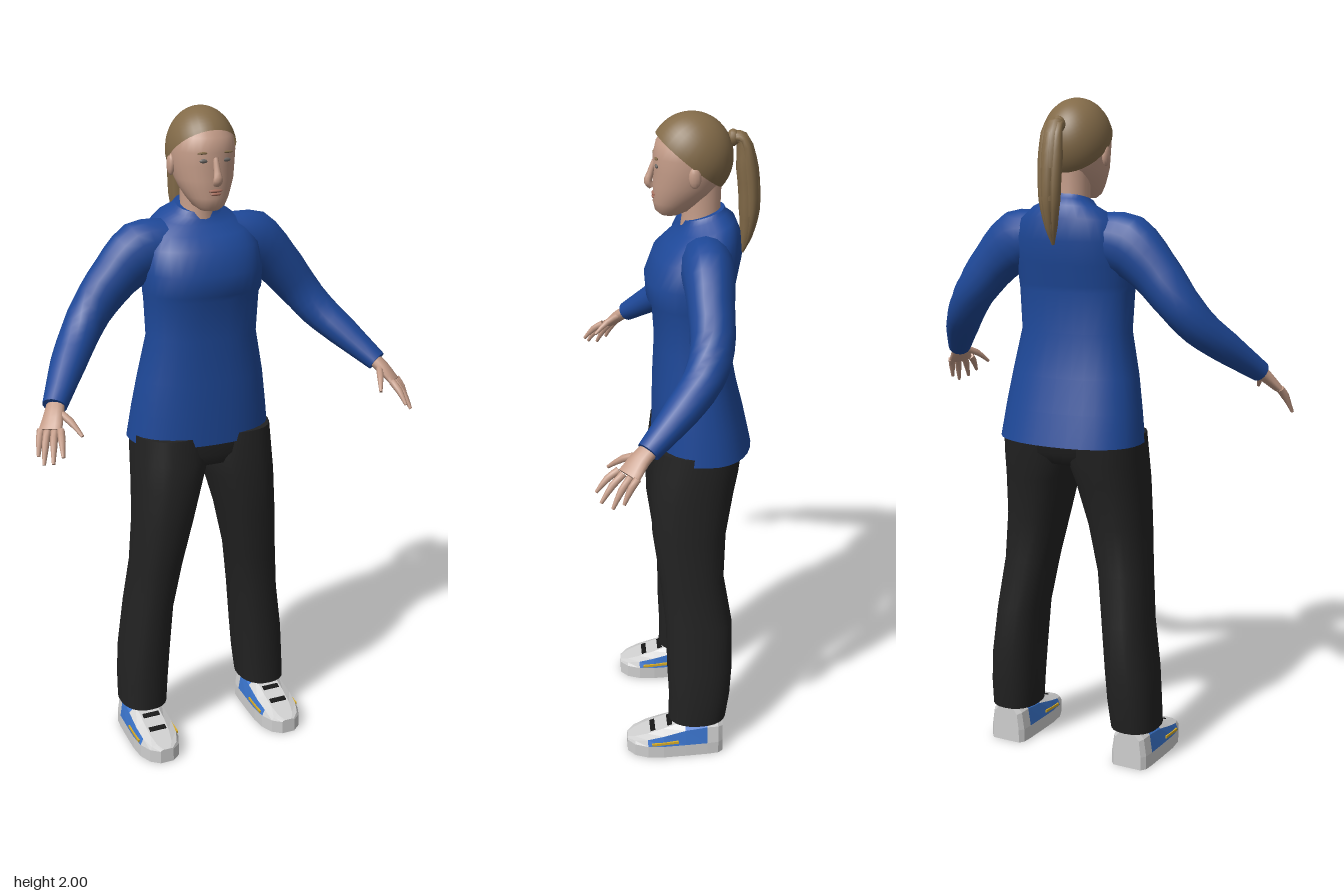
import * as THREE from 'three';

const mat = (name, color, side = THREE.FrontSide) => {
  const m = new THREE.MeshStandardMaterial({ color, side });
  m.name = name;
  return m;
};
const M = {
  sweater: mat('sweater blue', 0x1e4898),
  trousers: mat('trouser black', 0x222222),
  skin: mat('skin', 0xc49c88),
  hair: mat('hair brown', 0x836b49, THREE.DoubleSide),
  shoe: mat('shoe white', 0xcfcfcf),
  shoeBlue: mat('shoe blue', 0x3a74cc),
  yellow: mat('stripe yellow', 0xd8ac28),
  dark: mat('lace black', 0x151515),
  lips: mat('lips', 0xa8705f),
  eye: mat('eye grey', 0x6f6a66),
};
const V = (x, y, z) => new THREE.Vector3(x, y, z);

// Skin a list of equal rings; pick(i, j) may choose a material slot per quad
function loft(rings, pick = () => 0, slots = 1) {
  const n = rings[0].length, pos = [], lists = Array.from({ length: slots }, () => []);
  rings.forEach(r => r.forEach(p => pos.push(p.x, p.y, p.z)));
  for (let i = 0; i < rings.length - 1; i++) for (let j = 0; j < n; j++) {
    const k = (j + 1) % n, a = i * n + j, b = i * n + k, c = a + n, d = b + n;
    lists[pick(i, j)].push(a, c, b, b, c, d);
  }
  // end caps on their own vertices
  [rings[0], rings[rings.length - 1]].forEach((r, e) => {
    const base = pos.length / 3, c = V(0, 0, 0);
    r.forEach(p => { pos.push(p.x, p.y, p.z); c.addScaledVector(p, 1 / n); });
    pos.push(c.x, c.y, c.z);
    for (let j = 0; j < n; j++) {
      const k = (j + 1) % n;
      lists[0].push(base + n, base + (e ? k : j), base + (e ? j : k));
    }
  });
  const g = new THREE.BufferGeometry();
  g.setAttribute('position', new THREE.Float32BufferAttribute(pos, 3));
  g.setIndex(lists.flat());
  if (slots > 1) {
    let start = 0;
    lists.forEach((l, i) => { g.addGroup(start, l.length, i); start += l.length; });
  }
  g.computeVertexNormals();
  return g;
}

// Body form from level sections [y, centreX, halfWidth, frontZ, backZ]
function levels(sections, n = 24, power = 2) {
  const bend = v => Math.sign(v) * Math.abs(v) ** (2 / power);
  return loft(sections.map(([y, cx, rx, zf, zb]) => Array.from({ length: n }, (_, j) => {
    const a = j / n * Math.PI * 2;
    return V(cx + rx * bend(Math.cos(a)), y, (zf + zb) / 2 + (zf - zb) / 2 * bend(Math.sin(a)));
  })));
}

// Limb along a curve through [x, y, z, radius along ref, other radius]
function limb(points, ref, n = 12, sub = 3) {
  const curve = new THREE.CatmullRomCurve3(points.map(p => V(p[0], p[1], p[2])));
  const last = points.length - 1, rings = [];
  for (let i = 0; i <= last * sub; i++) {
    const f = i / sub, k = Math.min(Math.floor(f), last - 1), w = f - k;
    const c = curve.getPoint(f / last), t = curve.getTangent(f / last);
    const u = ref.clone().addScaledVector(t, -ref.dot(t)).normalize();
    const v = u.clone().cross(t);
    const r = [3, 4].map(q => THREE.MathUtils.lerp(points[k][q], points[k + 1][q], w));
    rings.push(Array.from({ length: n }, (_, j) => {
      const a = j / n * Math.PI * 2;
      return c.clone().addScaledVector(u, r[0] * Math.cos(a)).addScaledVector(v, r[1] * Math.sin(a));
    }));
  }
  return loft(rings);
}

function add(parent, name, geometry, material) {
  const m = new THREE.Mesh(geometry, material);
  m.name = name;
  parent.add(m);
  return m;
}
const blob = (rx, ry, rz, x, y, z) =>
  new THREE.SphereGeometry(1, 12, 8).scale(rx, ry, rz).translate(x, y, z);

function buildTorso(root) {
  const g = levels([
    [1.005, 0, .225, .064, -.236], [1.1, 0, .213, .062, -.215], [1.2, 0, .198, .06, -.19],
    [1.33, 0, .172, .054, -.165], [1.45, 0, .178, .062, -.17], [1.468, 0, .182, .077, -.173],
    [1.53, 0, .185, .082, -.185], [1.6, 0, .18, .056, -.198], [1.65, 0, .155, .02, -.193],
    [1.68, 0, .115, -.01, -.178], [1.7, 0, .075, -.025, -.155], [1.715, 0, .064, -.03, -.148],
  ], 32, 2.3);
  // collar rises toward the back
  const p = g.attributes.position;
  for (let i = 0; i < p.count; i++) {
    const k = THREE.MathUtils.clamp((p.getY(i) - 1.6) / .1, 0, 1);
    p.setY(i, p.getY(i) - k * .3 * (p.getZ(i) + .09));
  }
  g.computeVertexNormals();
  add(root, 'sweaterBody', g, M.sweater);
  add(root, 'trouserSeat', levels([[.935, 0, .16, .045, -.16], [.97, 0, .21, .06, -.19], [1.03, 0, .215, .06, -.2]], 24, 2.3), M.trousers);
}

function buildArm(root, s, side) {
  const arm = new THREE.Group();
  arm.name = side + 'Arm';
  root.add(arm);
  const mir = pts => pts.map(([x, ...r]) => [x * s, ...r]);
  add(arm, 'sleeve', limb(mir([
    [.1, 1.6, -.085, .08, .075], [.18, 1.585, -.085, .093, .075], [.26, 1.52, -.085, .074, .066],
    [.34, 1.425, -.08, .062, .062], [.39, 1.36, -.05, .056, .058], [.445, 1.3, .01, .048, .052],
    [.52, 1.217, .108, .031, .036],
  ]), V(0, 1, 0), 16), M.sweater);
  add(arm, 'palm', limb(mir([
    [.51, 1.228, .095, .026, .02], [.53, 1.2, .13, .031, .019], [.553, 1.165, .162, .038, .013],
  ]), V(.045 * s, -.005, -.05)), M.skin);
  // knuckle to fingertip, thumb last
  [[.53, 1.172, .188, .545, 1.115, .25], [.545, 1.168, .176, .57, 1.095, .238],
    [.56, 1.165, .158, .588, 1.085, .208], [.573, 1.165, .14, .594, 1.1, .178],
    [.515, 1.205, .135, .476, 1.155, .215]].forEach(([a, b, c, d, e, f], i) => {
    add(arm, i < 4 ? 'finger' : 'thumb', limb(mir([
      [a, b, c, .011, .011], [(a + d) / 2, (b + e) / 2 + .008, (c + f) / 2, .0105, .0105], [d, e, f, .005, .005],
    ]), V(s, 0, 0), 8, 2), M.skin);
  });
}

function buildLeg(root, s, side) {
  const leg = new THREE.Group();
  leg.name = side + 'Leg';
  root.add(leg);
  add(leg, 'trouserLeg', levels([
    [.115, .21, .074, .03, -.152], [.2, .205, .077, .028, -.165], [.3, .198, .077, .033, -.172],
    [.45, .182, .073, .036, -.17], [.6, .162, .078, .052, -.145], [.75, .14, .09, .073, -.152],
    [.88, .12, .106, .077, -.175], [.95, .107, .117, .07, -.19], [1.03, .105, .115, .06, -.2],
  ].map(([y, x, ...r]) => [y, x * s, ...r]), 24, 2.3), M.trousers);
  add(leg, 'ankle', levels([[.08, .213 * s, .042, -.005, -.115], [.2, .21 * s, .042, -.01, -.11]], 16), M.skin);

  // shoe sections [z, half width, height], with white sole, toe and heel and blue sides
  const shoe = new THREE.Group();
  shoe.name = 'shoe';
  shoe.position.x = .214 * s;
  leg.add(shoe);
  const secs = [[-.14, .046, .115], [-.125, .058, .12], [-.09, .062, .122], [-.02, .066, .112],
    [.05, .069, .088], [.1, .065, .07], [.14, .049, .056], [.163, .022, .047]];
  const rings = secs.map(([z, w, h]) => {
    const m = .042 + (h - .042) * .7;
    return [[w, 0], [-w, 0], [-w, .042], [-w * .86, m], [-w * .5, h], [w * .5, h], [w * .86, m], [w, .042]]
      .map(([x, y]) => V(x, y, z));
  });
  const blue = (i, j) => (i >= 2 && i <= 4 && (j === 2 || j === 6)) || (i === 2 && (j === 3 || j === 5)) ? 1 : 0;
  const body = loft(rings, blue, 2).toNonIndexed();
  body.computeVertexNormals();
  add(shoe, 'shoeBody', body, [M.shoe, M.shoeBlue]);
  [.028, .082].forEach(z => {
    const lace = add(shoe, 'lace', new THREE.BoxGeometry(.055, .006, .016), M.dark);
    lace.position.set(0, .0955 - (z - .028) * .35, z);
    lace.rotation.x = .34;
  });
  for (const e of [-1, 1]) {
    const stripe = add(shoe, 'stripe', new THREE.BoxGeometry(.006, .008, .085), M.yellow);
    stripe.position.set(e * .0655, .052, .045);
    stripe.rotation.x = .08;
  }
}

function buildHead(root) {
  const head = new THREE.Group();
  head.name = 'head';
  root.add(head);
  add(head, 'neck', levels([[1.66, 0, .06, -.02, -.145], [1.72, 0, .05, -.028, -.137], [1.82, 0, .052, -.02, -.14]]), M.skin);
  add(head, 'face', levels([
    [1.712, 0, .028, .035, -.02], [1.725, 0, .046, .05, -.05], [1.75, 0, .062, .056, -.085],
    [1.775, 0, .075, .054, -.11], [1.8, 0, .084, .057, -.13], [1.84, 0, .092, .053, -.15],
    [1.88, 0, .095, .056, -.158], [1.92, 0, .09, .047, -.155], [1.96, 0, .068, .012, -.125], [1.985, 0, .035, -.02, -.09],
  ], 28, 2.1), M.skin);
  add(head, 'nose', limb([[0, 1.865, .05, .008, .008], [0, 1.83, .062, .01, .01], [0, 1.805, .069, .015, .012], [0, 1.792, .058, .012, .01]], V(1, 0, 0), 10), M.skin);
  add(head, 'upperLip', blob(.022, .005, .007, 0, 1.772, .052), M.lips);
  add(head, 'lowerLip', blob(.018, .005, .007, 0, 1.763, .052), M.lips);
  for (const s of [-1, 1]) {
    add(head, 'eye', blob(.014, .006, .005, s * .034, 1.858, .047), M.eye);
    add(head, 'eyebrow', blob(.019, .0035, .005, s * .036, 1.88, .048), M.hair);
    add(head, 'ear', blob(.011, .031, .018, s * .094, 1.838, -.055), M.skin);
  }
  // hair cap tilted back from forehead to nape
  add(head, 'hairCap', new THREE.SphereGeometry(1, 32, 16, 0, Math.PI * 2, 0, 1.66)
    .rotateX(-.66).scale(.101, .125, .119).translate(0, 1.875, -.053), M.hair);
  add(head, 'hairTie', blob(.022, .024, .018, 0, 1.925, -.17), M.hair);
  // tail made of a core and side strands
  [[0, 0, 1], [-.014, -.006, .6], [.014, -.006, .6], [0, -.014, .6]].forEach(([x, z, k]) => add(head, 'ponytail', limb([
    [x * .3, 1.928, -.165, .018 * k, .016 * k], [x, 1.922, -.195 + z * .5, .027 * k, .02 * k],
    [x * 1.2, 1.84, -.211 + z, .034 * k, .032 * k], [x, 1.72, -.219 + z, .03 * k, .03 * k],
    [x * .5, 1.64, -.212 + z * .6, .018 * k, .018 * k], [0, 1.59, -.202, .004, .004],
  ], V(1, 0, 0), 10), M.hair));
}

export function createModel() {
  const root = new THREE.Group();
  root.name = 'standingWoman';
  buildTorso(root);
  buildHead(root);
  for (const [s, side] of [[1, 'left'], [-1, 'right']]) {
    buildArm(root, s, side);
    buildLeg(root, s, side);
  }
  return root;
}
